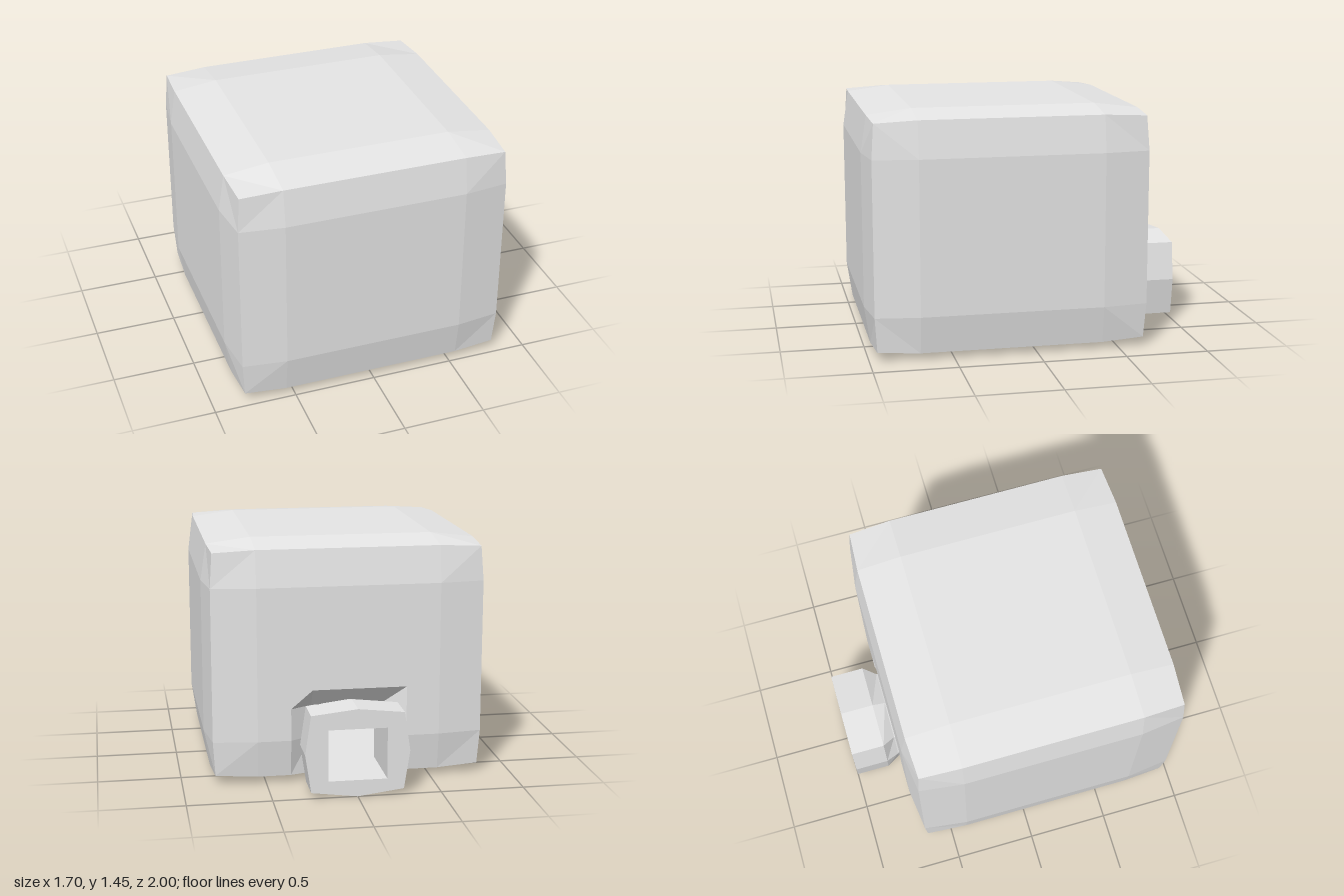
import * as THREE from 'three';

const grey = new THREE.MeshStandardMaterial({ color: 0xe7e7e7 });
grey.name = 'pale grey';

// Faceted mesh from a list of four-cornered faces
function quadMesh(name, quads) {
  const pos = [];
  for (const [a, b, c, d] of quads) for (const p of [a, b, c, a, c, d]) pos.push(...p);
  const geometry = new THREE.BufferGeometry();
  geometry.setAttribute('position', new THREE.Float32BufferAttribute(pos, 3));
  geometry.computeVertexNormals();
  const mesh = new THREE.Mesh(geometry, grey);
  mesh.name = name;
  return mesh;
}

// Bulged block: flat face centres, edges and corners pulled in, with a notch at the back
function makeBody() {
  const lines = [
    [-0.85, -0.55, -0.35, -0.22, 0.22, 0.35, 0.55, 0.85],
    [0.005, 0.265, 0.46, 0.57, 1.195, 1.45],
    [-0.705, -0.40, 0.70, 1.0],
  ];
  const inset = [0, 0, 0.034, 0.048];
  const inNotch = (x, y) => Math.abs(x) < 0.23 && y < 0.47;

  const point = (idx) => {
    const sides = idx.map((n, a) => (n === 0 ? 1 : n === lines[a].length - 1 ? -1 : 0));
    const count = sides.filter((s) => s !== 0).length;
    const p = idx.map((n, a) => lines[a][n] + sides[a] * inset[count]);
    if (idx[2] === 0 && inNotch(p[0], p[1])) p[2] = -0.63;
    return p;
  };

  const quads = [];
  for (let a = 0; a < 3; a++) {
    const u = (a + 1) % 3, v = (a + 2) % 3;
    for (const end of [0, lines[a].length - 1]) {
      for (let i = 0; i < lines[u].length - 1; i++) {
        for (let j = 0; j < lines[v].length - 1; j++) {
          const quad = [[0, 0], [1, 0], [1, 1], [0, 1]].map(([di, dj]) => {
            const idx = [];
            idx[a] = end; idx[u] = i + di; idx[v] = j + dj;
            return point(idx);
          });
          // leave the mouth of the passage open
          if (a === 2 && end === 0 && quad.every((p) => inNotch(p[0], p[1]))) continue;
          quads.push(end ? quad : quad.reverse());
        }
      }
    }
  }
  return quadMesh('body', quads);
}

// Eight-sided entrance tunnel, lofted along the outside and back in through the square hole
function makeTunnel() {
  // z, corner x, middle x, corner bottom/top, middle bottom/top
  const rings = [
    [-0.60, 0.21, 0.23, 0.04, 0.45, 0.035, 0.47],
    [-0.71, 0.225, 0.28, 0.025, 0.46, 0.005, 0.51],
    [-0.79, 0.275, 0.31, 0.035, 0.50, 0, 0.53],
    [-1.00, 0.275, 0.31, 0.035, 0.50, 0, 0.53],
    [-1.00, 0.175, 0.175, 0.10, 0.41, 0.10, 0.41],
    [-0.58, 0.175, 0.175, 0.10, 0.41, 0.10, 0.41],
  ].map(([z, cx, mx, cb, ct, mb, mt]) => [
    [mx, 0.265, z], [cx, ct, z], [0, mt, z], [-cx, ct, z],
    [-mx, 0.265, z], [-cx, cb, z], [0, mb, z], [cx, cb, z],
  ]);
  const quads = [];
  for (let i = 0; i < rings.length - 1; i++) {
    for (let j = 0; j < 8; j++) {
      const k = (j + 1) % 8;
      quads.push([rings[i][j], rings[i + 1][j], rings[i + 1][k], rings[i][k]]);
    }
  }
  return quadMesh('entranceTunnel', quads);
}

// Room inside, with its faces turned inwards
function makeRoom() {
  const geometry = new THREE.BoxGeometry(1.4, 1.2, 1.43);
  geometry.scale(-1, 1, 1);
  geometry.translate(0, 0.70, 0.135);
  const flat = geometry.toNonIndexed();
  flat.computeVertexNormals();
  const mesh = new THREE.Mesh(flat, grey);
  mesh.name = 'innerRoom';
  return mesh;
}

export function createModel() {
  const model = new THREE.Group();
  model.name = 'blockHut';
  model.add(makeBody(), makeTunnel(), makeRoom());
  return model;
}
